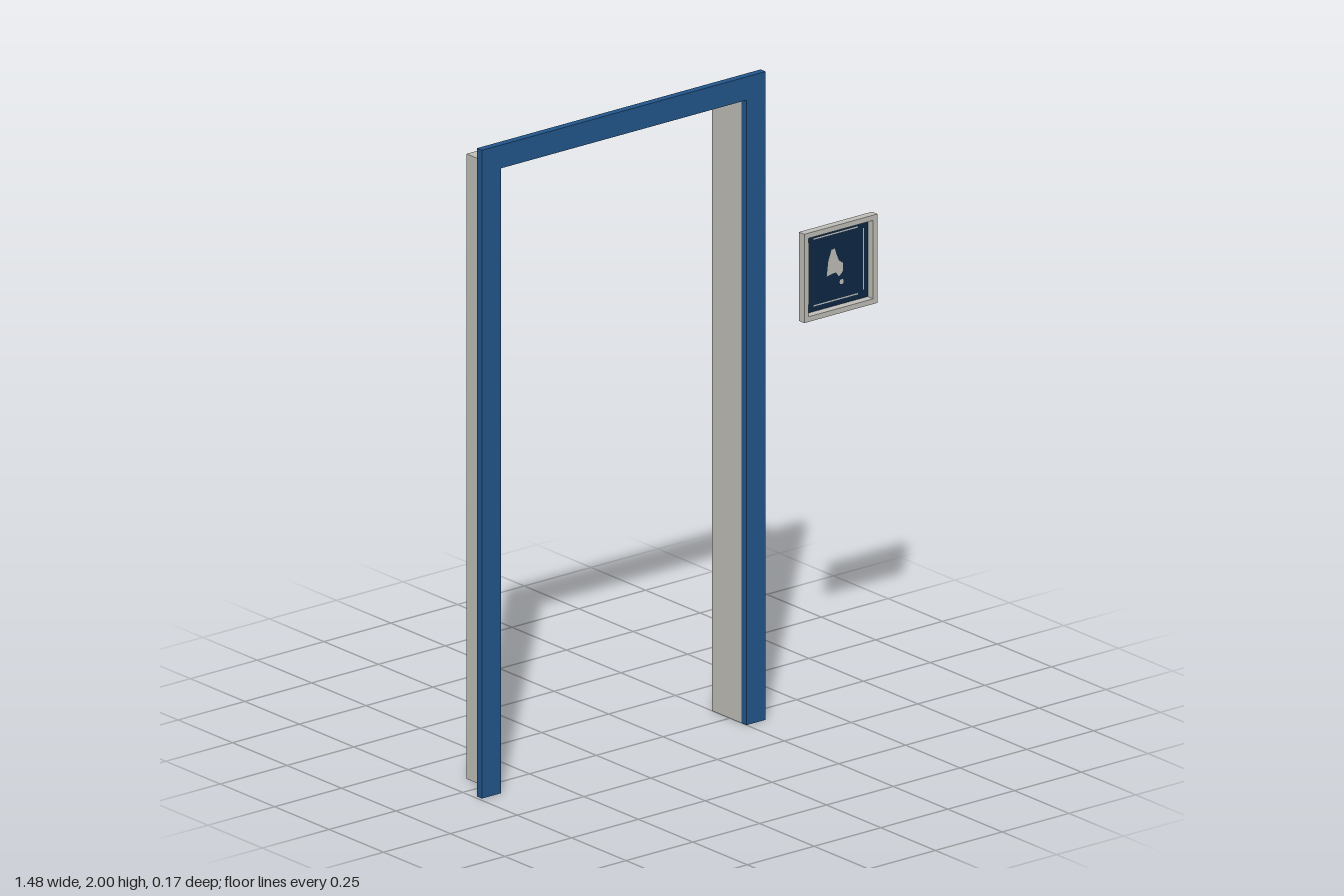
import * as THREE from 'three';

const FACES = ['right', 'left', 'top', 'bottom', 'front', 'back'];

// Box between two corners, keeping only the listed faces
function openBox(x0, x1, y0, y1, z0, z1, keep) {
  const geo = new THREE.BoxGeometry(x1 - x0, y1 - y0, z1 - z0);
  const index = Array.from(geo.index.array);
  geo.setIndex(FACES.flatMap((f, i) => (keep.includes(f) ? index.slice(i * 6, i * 6 + 6) : [])));
  geo.clearGroups();
  geo.translate((x0 + x1) / 2, (y0 + y1) / 2, (z0 + z1) / 2);
  return geo;
}

export function createModel() {
  const model = new THREE.Group();
  model.name = 'doorFrameWithSign';

  const material = (name, color) => {
    const m = new THREE.MeshStandardMaterial({ color, side: THREE.DoubleSide });
    m.name = name;
    return m;
  };
  const blue = material('trimBlue', 0x22558a);
  const grey = material('liningGrey', 0xbebdb7);
  const navy = material('signNavy', 0x0d2744);
  const dark = material('signBackDark', 0x0a0a1e);

  const add = (parent, name, geo, mat) => {
    const mesh = new THREE.Mesh(geo, mat);
    mesh.name = name;
    parent.add(mesh);
    return mesh;
  };
  const group = (name) => {
    const g = new THREE.Group();
    g.name = name;
    model.add(g);
    return g;
  };

  // Trim: folded channels, open at the back
  const L0 = -0.74, L1 = -0.668, R0 = 0.25, R1 = 0.322;
  const head = 1.928, zBack = 0.053, zFront = 0.076;
  const trim = group('trim');
  const postFaces = ['right', 'left', 'top', 'front'];
  add(trim, 'rightPost', openBox(L0, L1, 0, 2, zBack, zFront, postFaces), blue);
  add(trim, 'leftPost', openBox(R0, R1, 0, 2, zBack, zFront, postFaces), blue);
  add(trim, 'header', openBox(L1, R0, head, 2, zBack, zFront, ['top', 'bottom', 'front']), blue);

  // Lining: thin sheet around the opening
  add(model, 'lining', openBox(L1, R0, 0, head, -0.083, zBack, ['right', 'left', 'top']), grey);

  // Sign frame: hollow square ring, open at the back
  const sign = group('sign');
  sign.position.set(0.598, 1.331, 0);
  const sides = ['right', 'left', 'top', 'bottom'];
  const square = (path, r) =>
    path.moveTo(-r, -r).lineTo(r, -r).lineTo(r, r).lineTo(-r, r).closePath();
  const ring = (outer, inner) => {
    const s = square(new THREE.Shape(), outer);
    s.holes.push(square(new THREE.Path(), inner));
    return new THREE.ShapeGeometry(s);
  };
  const out = 0.137, inn = 0.121;
  add(sign, 'frameFront', ring(out, inn).translate(0, 0, 0.083), grey);
  add(sign, 'frameOuterSides', openBox(-out, out, -out, out, 0.058, 0.083, sides), grey);
  add(sign, 'frameInnerSides', openBox(-inn, inn, -inn, inn, 0.058, 0.083, sides), grey);

  // Sign panel
  const p = 0.121;
  add(sign, 'panelFront', openBox(-p, p, -p, p, 0.054, 0.058, ['front']), navy);
  add(sign, 'panelBack', openBox(-p, p, -p, p, 0.053, 0.058, [...sides, 'back']), dark);

  // Painted border lines and a simple seated silhouette
  const z = 0.0595;
  for (const s of [-1, 1]) {
    const vertical = new THREE.PlaneGeometry(0.004, 0.19);
    add(sign, 'borderVertical', vertical.translate(s * 0.103, 0, z), grey);
    const horizontal = new THREE.PlaneGeometry(0.165, 0.004);
    add(sign, 'borderHorizontal', horizontal.translate(0, s * 0.103, z), grey);
  }
  const polygon = (points) =>
    new THREE.ShapeGeometry(new THREE.Shape(points.map(([x, y]) => new THREE.Vector2(x, y))))
      .translate(0, 0, z);
  add(sign, 'motif', polygon([
    [-0.034, -0.024], [-0.028, 0.022], [-0.016, 0.055], [-0.004, 0.056], [0.004, 0.034],
    [0.012, 0.016], [0.028, 0.004], [0.026, -0.022], [0.012, -0.034], [0, -0.018],
  ]), grey);
  add(sign, 'motifSpot', new THREE.CircleGeometry(0.008, 10).translate(0.022, -0.052, z), grey);

  return model;
}
